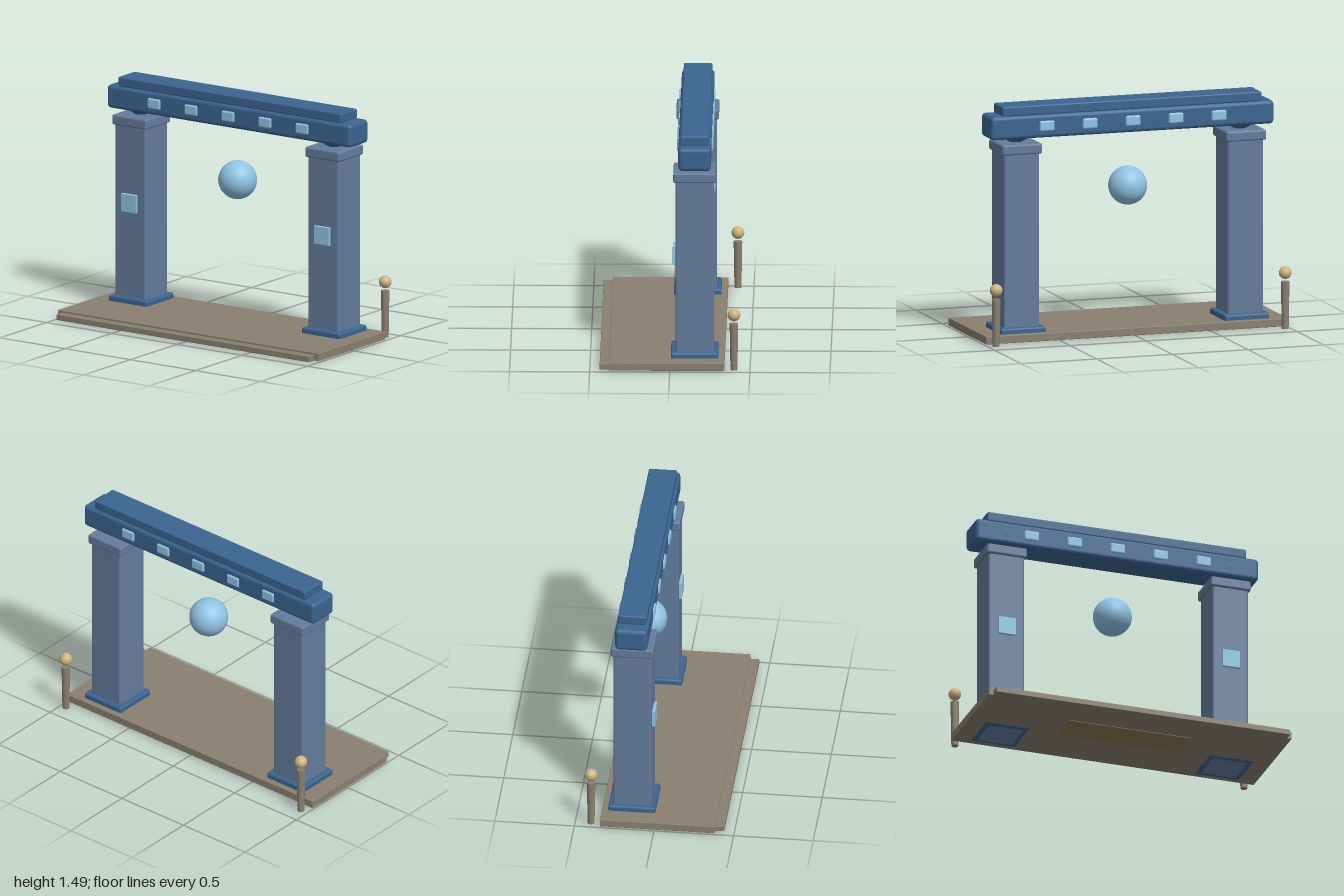
import * as THREE from 'three';
import { RoundedBoxGeometry } from 'three/addons/geometries/RoundedBoxGeometry.js';

const mat = (color) => new THREE.MeshStandardMaterial({ color });

export function createModel() {
  const group = new THREE.Group();
  const stone = mat(0x8a8070), slate = mat(0x647c9c), blue = mat(0x3a6590);
  const glow = mat(0x8fc4e4), gold = mat(0xcdb481), tan = mat(0x8a7650);
  const GATE_Z = -0.153;

  const add = (name, geometry, material, x, y, z) => {
    const mesh = new THREE.Mesh(geometry, material);
    mesh.name = name;
    mesh.position.set(x, y, z);
    group.add(mesh);
    return mesh;
  };
  // Box given by width, depth, bottom and top; rounded when r > 0
  const box = (name, material, w, d, y0, y1, x, z, r = 0) => add(name,
    r > 0 ? new RoundedBoxGeometry(w, y1 - y0, d, 2, r) : new THREE.BoxGeometry(w, y1 - y0, d),
    material, x, (y0 + y1) / 2, z);

  // Floor slab, front step and the plate set into the underside
  box('platform', stone, 2, 0.72, 0.008, 0.058, 0, 0.02, 0.004);
  box('frontStep', stone, 1.94, 0.13, 0.008, 0.045, 0, 0.373, 0.004);
  box('underPlate', tan, 0.8, 0.22, 0.005, 0.02, 0, 0.08);

  for (const side of [-1, 1]) {
    // Pillar with plinth, capital, bearing and front panel
    const x = side * 0.74;
    box('plinth', blue, 0.296, 0.296, 0.003, 0.094, x, GATE_Z, 0.014);
    box('pillar', slate, 0.235, 0.238, 0, 1.2, x, GATE_Z, 0.012);
    box('capital', slate, 0.264, 0.266, 1.187, 1.252, x, GATE_Z, 0.012);
    add('bearing', new THREE.SphereGeometry(0.104, 24, 16), blue, x, 1.348, GATE_Z);
    box('pillarPanel', glow, 0.116, 0.03, 0.641, 0.757, x, -0.031, 0.003);

    // Rear post, slightly wider at the top, with a ball finial
    add('post', new THREE.CylinderGeometry(0.027, 0.022, 0.3, 16), stone, side * 0.955, 0.155, -0.4);
    add('postBall', new THREE.SphereGeometry(0.04, 24, 16), gold, side * 0.955, 0.36, -0.4);
  }

  // Lintel with its top cap
  box('lintel', blue, 1.87, 0.204, 1.28, 1.429, 0, GATE_Z, 0.025);
  box('lintelCap', blue, 1.71, 0.178, 1.425, 1.488, 0, GATE_Z, 0.01);

  // Studs showing on both faces of the lintel
  for (let i = -2; i <= 2; i++) {
    for (const face of [-1, 1]) {
      box('lintelStud', glow, 0.098, 0.04, 1.322, 1.389, i * 0.284, GATE_Z + face * 0.093, 0.012);
    }
  }

  // Floating orb in the opening
  add('orb', new THREE.SphereGeometry(0.122, 40, 28), glow, 0, 0.93, GATE_Z);

  return group;
}
